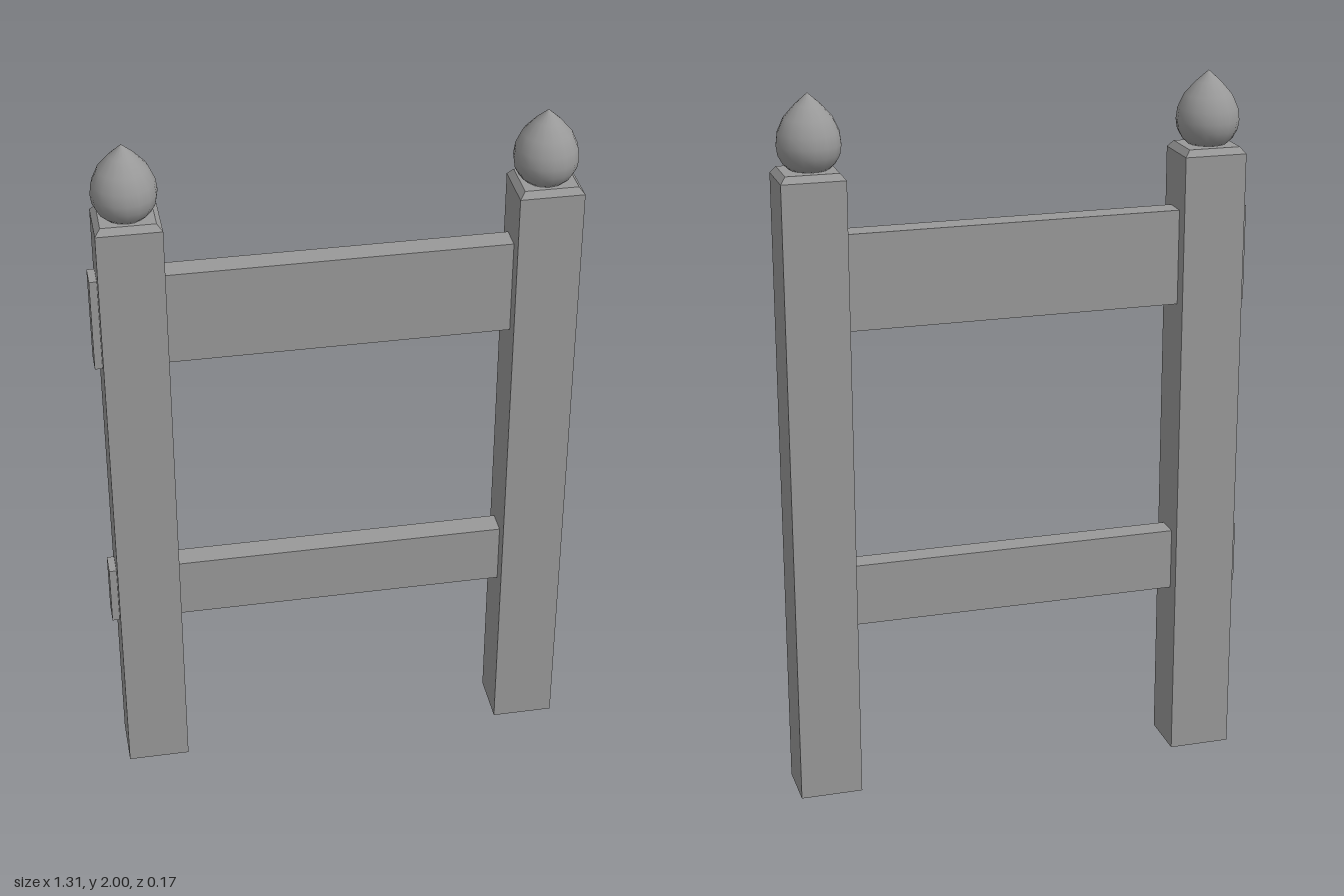
import * as THREE from 'three';

const wood = new THREE.MeshStandardMaterial({ color: 0x999999 });
const facetedWood = new THREE.MeshStandardMaterial({ color: 0x999999, flatShading: true });

const POST = { width: 0.175, depth: 0.153, height: 1.779, z: -0.004 };

function addMesh(parent, name, geometry, material, x, y, z) {
  const mesh = new THREE.Mesh(geometry, material);
  mesh.name = name;
  mesh.position.set(x, y, z);
  parent.add(mesh);
  return mesh;
}

// Bud-shaped finial, radius and height above the post cap
function finialGeometry() {
  const profile = [
    [0, 0], [0.053, 0.002], [0.07, 0.018], [0.083, 0.042], [0.087, 0.068],
    [0.083, 0.1], [0.066, 0.138], [0.035, 0.173], [0, 0.204],
  ].map(([r, y]) => new THREE.Vector2(r, y));
  return new THREE.LatheGeometry(profile, 16);
}

// Square post with a bevelled cap and a finial
function createPost(name, x, finialX) {
  const post = new THREE.Group();
  post.name = name;
  const { width, depth, height, z } = POST;
  addMesh(post, 'postShaft', new THREE.BoxGeometry(width, height, depth), wood, x, height / 2, z);

  const bevel = new THREE.CylinderGeometry(0.83 * Math.SQRT1_2, Math.SQRT1_2, 0.018, 4);
  bevel.rotateY(Math.PI / 4);
  bevel.scale(width, 1, depth);
  addMesh(post, 'postCap', bevel, facetedWood, x, height + 0.009, z);

  addMesh(post, 'finial', finialGeometry(), wood, finialX, 1.796, 0);
  return post;
}

export function createModel() {
  const model = new THREE.Group();
  model.name = 'fencePanel';

  model.add(createPost('rightPost', -0.546, -0.548));
  model.add(createPost('leftPost', 0.566, 0.561));

  // Rails run through the right post and stop inside the left one
  const x0 = -0.654, x1 = 0.65;
  for (const [name, y0, y1] of [['lowerRail', 0.499, 0.676], ['upperRail', 1.356, 1.624]]) {
    const geometry = new THREE.BoxGeometry(x1 - x0, y1 - y0, 0.068);
    addMesh(model, name, geometry, wood, (x0 + x1) / 2, (y0 + y1) / 2, -0.005);
  }
  return model;
}
